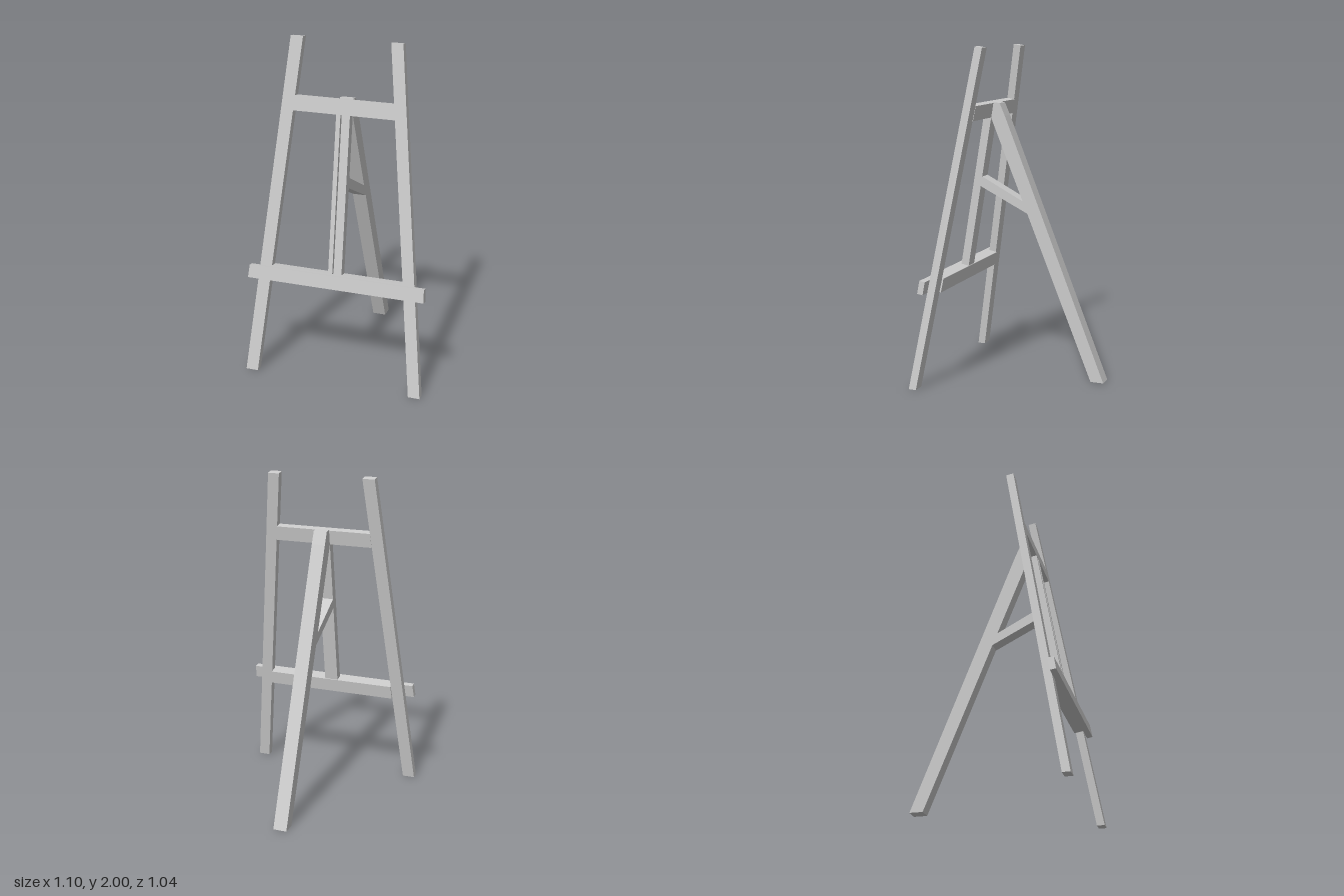
import * as THREE from 'three';

const SLOPE = 0.17;      // backward lean of the front frame
const FOOT_Z = 0.52;     // front of the frame at ground level
const LEN = Math.hypot(1, SLOPE);

// x of the legs' edges at a given height
const mix = (a, b, y) => a + (b - a) * y / 2;
const leftInner = y => mix(0.475, 0.245, y);
const rightInner = y => mix(-0.475, -0.277, y);

export function createModel() {
  const group = new THREE.Group();
  const material = new THREE.MeshStandardMaterial({ color: 0xcccccc, flatShading: true });

  const extrude = (points, depth) => new THREE.ExtrudeGeometry(
    new THREE.Shape(points.map(p => new THREE.Vector2(...p))), { depth, bevelEnabled: false });

  const add = (name, geometry) => {
    geometry.computeVertexNormals();
    const mesh = new THREE.Mesh(geometry, material);
    mesh.name = name;
    group.add(mesh);
  };

  // Board lying in the leaning plane, from offset "back" to "front" along its normal;
  // corners at y = 0 are cut level with the ground
  function leaningBoard(name, points, back, front) {
    const geometry = extrude(points, front - back);
    const pos = geometry.attributes.position;
    for (let i = 0; i < pos.count; i++) {
      const y = pos.getY(i), n = pos.getZ(i) + back;
      if (y < 1e-6) pos.setXYZ(i, pos.getX(i), 0, FOOT_Z + n * LEN);
      else pos.setXYZ(i, pos.getX(i), y + n * SLOPE / LEN, FOOT_Z - SLOPE * y + n / LEN);
    }
    add(name, geometry);
  }

  // Board with a side outline given as [z, y], spanning x0 to x1
  function sideBoard(name, points, x0, x1) {
    const geometry = extrude(points.map(([z, y]) => [-z, y]), x1 - x0);
    geometry.rotateY(Math.PI / 2);
    geometry.translate(x0, 0, 0);
    add(name, geometry);
  }

  // Front legs
  leaningBoard('leftFrontLeg', [[0.475, 0], [0.545, 0], [0.315, 2], [0.245, 2]], -0.046, 0);
  leaningBoard('rightFrontLeg', [[-0.55, 0], [-0.475, 0], [-0.277, 2], [-0.352, 2]], -0.046, 0);

  // Cross rails fitted between the legs
  const rail = (name, y0, y1, depth) => leaningBoard(name, [
    [rightInner(y0), y0], [leftInner(y0), y0], [leftInner(y1), y1], [rightInner(y1), y1],
  ], -depth, 0);
  rail('upperRail', 1.58, 1.667, 0.048);
  rail('lowerRail', 0.578, 0.66, 0.055);

  // Ledge in front of the legs
  leaningBoard('ledge', [[-0.547, 0.578], [0.54, 0.578], [0.535, 0.655], [-0.538, 0.655]], 0, 0.035);

  // Grooved centre mast: a back strip with a lip on each side
  const X0 = -0.055, X1 = 0.028;
  const strip = (name, a, b, back, front) =>
    leaningBoard(name, [[a, 0.66], [b, 0.66], [b, 1.58], [a, 1.58]], back, front);
  strip('mastBack', X0, X1, -0.049, -0.022);
  strip('mastRightLip', X0, -0.029, -0.022, 0);
  strip('mastLeftLip', 0.001, X1, -0.022, 0);

  // Rear leg and the strut joining it to the mast
  sideBoard('rearLeg', [[-0.438, 0], [-0.518, 0], [0.115, 1.585], [0.148, 1.66], [0.187, 1.664], [0.203, 1.57]], X0, X1);
  sideBoard('strut', [[0.278, 1.155], [-0.037, 0.998], [-0.01, 1.07], [0.268, 1.215]], X0, X1);

  return group;
}
